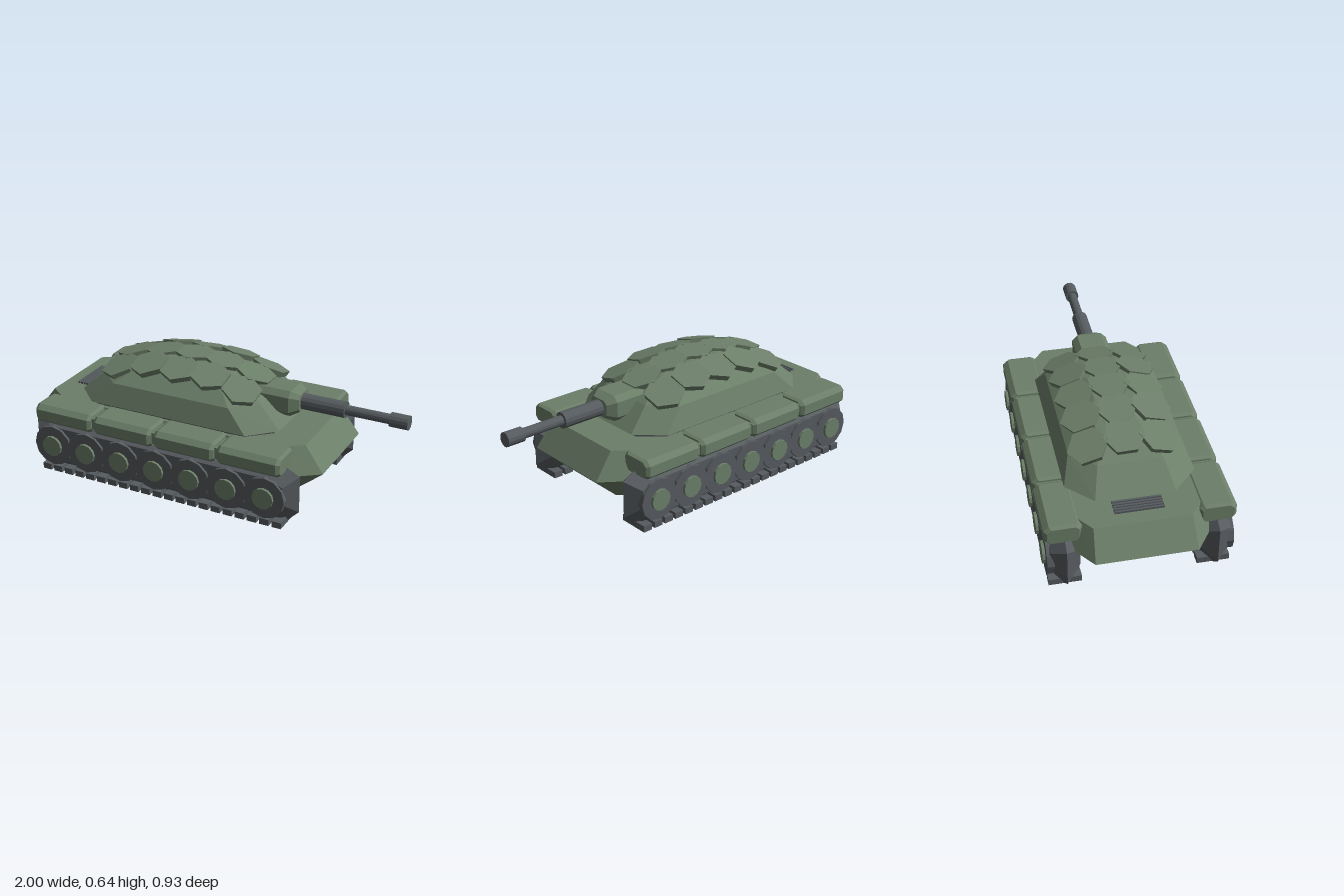
import * as THREE from 'three';
import { ConvexGeometry } from 'three/addons/geometries/ConvexGeometry.js';

const material = (name, color) => {
  const m = new THREE.MeshStandardMaterial({ color });
  m.name = name;
  return m;
};

export function createModel() {
  const green = material('armour green', 0x6c7f69);
  const grey = material('track grey', 0x565b5f);
  const root = new THREE.Group();
  root.name = 'tank';

  const add = (parent, name, geometry, mat, x = 0, y = 0, z = 0) => {
    const g = geometry.index ? geometry.toNonIndexed() : geometry;
    g.computeVertexNormals();
    const mesh = new THREE.Mesh(g, mat);
    mesh.name = name;
    mesh.position.set(x, y, z);
    parent.add(mesh);
    return mesh;
  };

  // Eight-cornered horizontal ring: narrow ends (tip) and wide sides
  const ring = (y, x0, x1, tip, side, cut) =>
    [[x1, tip], [x1 - cut, side], [x0 + cut, side], [x0, tip]].flatMap(([x, z]) =>
      [new THREE.Vector3(x, y, z), new THREE.Vector3(x, y, -z)]);
  const stack = (...rings) => new ConvexGeometry(rings.map(r => ring(...r)).flat());

  // Hull
  add(root, 'hull', stack(
    [0.08, -0.83, 0.49, 0.18, 0.275, 0.12],
    [0.237, -1, 0.66, 0.245, 0.36, 0.16],
    [0.37, -0.9, 0.56, 0.235, 0.315, 0.11]), green);

  // Engine grille on the rear deck
  for (let i = 0; i < 5; i++)
    add(root, 'grilleBar', new THREE.BoxGeometry(0.011, 0.014, 0.24), grey, -0.82 + i * 0.0175, 0.374, 0);

  // Turret
  const turret = new THREE.Group();
  turret.name = 'turret';
  root.add(turret);
  add(turret, 'turretRing', stack(
    [0.365, -0.71, 0.37, 0.19, 0.295, 0.12],
    [0.395, -0.71, 0.37, 0.19, 0.295, 0.12]), grey);
  add(turret, 'turretShell', stack(
    [0.39, -0.74, 0.4, 0.195, 0.32, 0.13],
    [0.5, -0.62, 0.28, 0.16, 0.28, 0.12],
    [0.57, -0.5, 0.17, 0.1, 0.19, 0.1],
    [0.615, -0.32, -0.02, 0.05, 0.1, 0.06]), green);

  // Hexagonal armour tiles following the dome
  const up = new THREE.Vector3(0, 1, 0);
  for (const [row, z] of [-0.185, -0.01, 0.16].entries()) {
    for (let i = 0; i < 5; i++) {
      const x = -0.52 + i * 0.174, dx = x + 0.17;
      const y = 0.618 - 0.4 * dx * dx - 0.9 * z * z + (row === 1 ? 0 : (i % 2) * 0.008);
      const tile = add(turret, 'armourTile', new THREE.CylinderGeometry(0.104, 0.096, 0.032, 6), green, x, y, z);
      tile.quaternion.setFromUnitVectors(up, new THREE.Vector3(0.8 * dx, 1, 1.8 * z).normalize());
    }
  }

  // Mantlet: chamfered block that narrows toward the barrel
  const section = (x, h, w, c) => [-1, 1].flatMap(a => [-1, 1].flatMap(b => [
    new THREE.Vector3(x, 0.485 + a * h, b * (w - c)),
    new THREE.Vector3(x, 0.485 + a * (h - c), b * w)]));
  add(turret, 'mantlet', new ConvexGeometry([
    ...section(0.22, 0.068, 0.092, 0.028),
    ...section(0.4, 0.068, 0.092, 0.028),
    ...section(0.445, 0.045, 0.06, 0.018)]), green);

  // Gun
  const tube = (name, x0, x1, r) => {
    const g = new THREE.CylinderGeometry(r, r, x1 - x0, 14).rotateZ(-Math.PI / 2);
    add(turret, name, g, grey, (x0 + x1) / 2, 0.483, 0);
  };
  tube('barrelSleeve', 0.43, 0.675, 0.042);
  tube('barrel', 0.66, 0.92, 0.026);
  tube('muzzle', 0.905, 1, 0.037);

  // Running gear, mirrored to both sides
  for (const s of [-1, 1]) {
    const side = new THREE.Group();
    side.name = s > 0 ? 'frontRunningGear' : 'backRunningGear';
    root.add(side);

    // Track body: outline at the middle, inset faces on either side
    const loop = (z, inset) => {
      const x0 = -0.93 + inset, x1 = 0.59 - inset, y0 = 0.004 + inset, y1 = 0.297 - inset * 0.7, c = 0.065;
      return [[x0 + c, y0], [x1 - c, y0], [x1, y0 + c], [x1, y1 - c / 2],
        [x1 - c, y1], [x0 + c, y1], [x0, y1 - c / 2], [x0, y0 + c]]
        .map(([x, y]) => new THREE.Vector3(x, y, s * z));
    };
    add(side, 'trackBody', new ConvexGeometry([...loop(0.292, 0.06), ...loop(0.365, 0), ...loop(0.438, 0.06)]), grey);

    // Track pads
    for (let i = 0; i < 21; i++)
      add(side, 'trackPad', new THREE.BoxGeometry(0.05, 0.033, 0.162), grey, -0.83 + i * 0.0668, 0.0165, s * 0.365);

    // Road wheels and hubs
    for (let i = 0; i < 7; i++) {
      const x = -0.78 + i * 0.2027;
      const disc = (r, d) => new THREE.CylinderGeometry(r, r, d, 12).rotateX(Math.PI / 2);
      add(side, 'roadWheel', disc(0.11, 0.036), grey, x, 0.153, s * 0.434);
      add(side, 'wheelHub', disc(0.056, 0.02), green, x, 0.153, s * 0.456);
    }

    // Fender boxes with bevelled edges, joined by a strip
    const fender = new THREE.Shape([[0.28, 0.295], [0.3, 0.278], [0.44, 0.278], [0.462, 0.298],
      [0.462, 0.352], [0.435, 0.375], [0.3, 0.375], [0.28, 0.358]].map(p => new THREE.Vector2(...p)));
    const fenderPoints = fender.getPoints();
    for (let i = 0; i < 4; i++) {
      const x0 = -0.873 + i * 0.352, x1 = x0 + 0.336;
      const points = [[x0, 0.84], [x0 + 0.018, 1], [x1 - 0.018, 1], [x1, 0.84]].flatMap(([x, k]) =>
        fenderPoints.map(p => new THREE.Vector3(x, 0.326 + (p.y - 0.326) * k, s * (0.371 + (p.x - 0.371) * k))));
      add(side, 'fenderBox', new ConvexGeometry(points), green);
    }
    add(side, 'fenderStrip', new THREE.BoxGeometry(1.36, 0.06, 0.14), green, -0.17, 0.328, s * 0.37);
  }
  return root;
}
